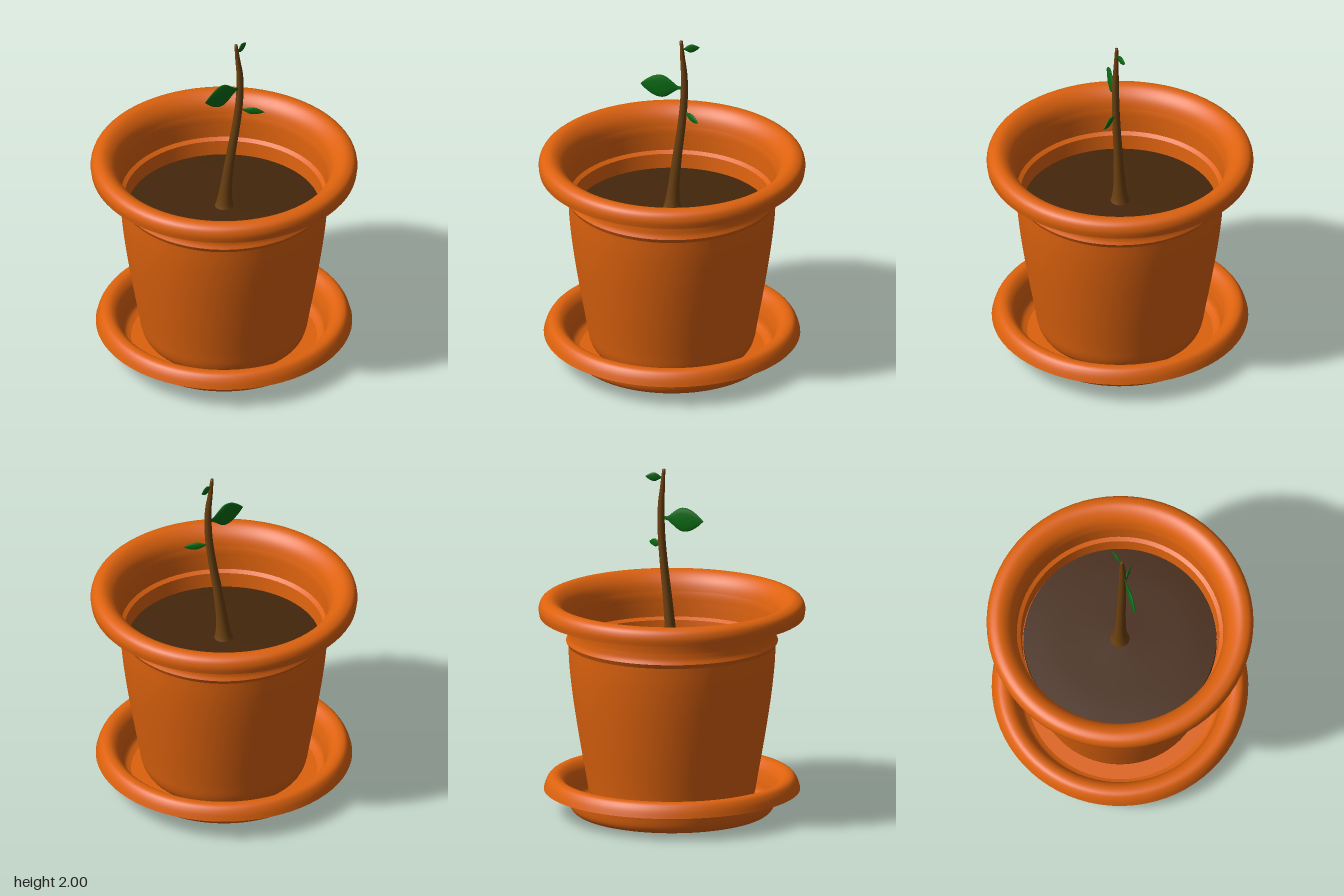
import * as THREE from 'three';

const mat = (color) => new THREE.MeshStandardMaterial({ color, side: THREE.DoubleSide });
const clay = mat(0xdd620e), earth = mat(0x44260c), bark = mat(0x6b4010), green = mat(0x0a6a14);

const vec2 = (pts) => pts.map(([x, y]) => new THREE.Vector2(x, y));

// Revolves each smooth run of [radius, y] points; edges between runs stay sharp
function turned(name, runs, material) {
  const group = new THREE.Group();
  group.name = name;
  for (const [part, pts] of Object.entries(runs)) {
    const profile = pts.length > 2 ? new THREE.SplineCurve(vec2(pts)).getPoints(pts.length * 4) : vec2(pts);
    profile.forEach((p) => { p.x = Math.max(p.x, 0); });
    const mesh = new THREE.Mesh(new THREE.LatheGeometry(profile, 72), material);
    mesh.name = part;
    group.add(mesh);
  }
  return group;
}

// Stem centre line
const path = new THREE.SplineCurve(vec2([
  [0, 0.9], [0.012, 1.05], [0.038, 1.25], [0.07, 1.45], [0.09, 1.62], [0.093, 1.78], [0.08, 1.9], [0.07, 2],
]));

function makeStem() {
  const radius = new THREE.SplineCurve(vec2([
    [0.062, 0.9], [0.046, 0.95], [0.034, 1.05], [0.027, 1.25], [0.023, 1.5], [0.02, 1.75], [0.014, 1.9], [0.009, 2],
  ]));
  const profile = radius.getPoints(32);
  profile.push(new THREE.Vector2(0, 2));
  const geo = new THREE.LatheGeometry(profile, 14);
  const line = path.getPoints(80);
  const pos = geo.attributes.position;
  // Bend the straight stem along the centre line
  for (let i = 0; i < pos.count; i++) {
    const y = pos.getY(i);
    const k = Math.max(1, line.findIndex((p) => p.y >= y - 1e-6));
    const a = line[k - 1], b = line[k];
    const t = THREE.MathUtils.clamp((y - a.y) / (b.y - a.y), 0, 1);
    pos.setX(i, pos.getX(i) + a.x + (b.x - a.x) * t);
  }
  const stem = new THREE.Mesh(geo, bark);
  stem.name = 'stem';
  return stem;
}

// Flattened spindle leaf from base to tip, its blade standing upright
function makeLeaf(name, base, tip, width, thickness) {
  const from = new THREE.Vector3(...base), dir = new THREE.Vector3(...tip).sub(from);
  const length = dir.length();
  dir.normalize();
  const outline = new THREE.SplineCurve(vec2([
    [0.06, 0], [0.1, 0.12], [0.28, 0.25], [0.46, 0.4], [0.5, 0.54], [0.42, 0.7], [0.22, 0.87], [0, 1],
  ])).getPoints(16);
  outline.forEach((p) => { p.x = Math.max(p.x, 0); });
  const geo = new THREE.LatheGeometry(outline, 12);
  geo.scale(width, length, thickness);
  const side = new THREE.Vector3().crossVectors(dir, new THREE.Vector3(0, 1, 0)).normalize();
  const across = new THREE.Vector3().crossVectors(dir, side);
  geo.applyMatrix4(new THREE.Matrix4().makeBasis(across, dir, side));
  const leaf = new THREE.Mesh(geo, green);
  leaf.name = name;
  leaf.position.copy(from);
  return leaf;
}

export function createModel() {
  const model = new THREE.Group();
  model.name = 'pottedPlant';

  // Thin-walled pot with a hollow, rolled-over rim
  model.add(turned('pot', {
    potBase: [[0, 0.04], [0.4, 0.04]],
    potWall: [[0.4, 0.04], [0.445, 0.065], [0.472, 0.12], [0.49, 0.22], [0.53, 0.45], [0.565, 0.68], [0.585, 0.86], [0.592, 0.985]],
    potBandLower: [[0.592, 0.985], [0.605, 1.01]],
    potBandUpper: [[0.605, 1.01], [0.595, 1.035], [0.592, 1.07]],
    rimUnderside: [[0.592, 1.07], [0.597, 1.13], [0.62, 1.19], [0.66, 1.228], [0.7, 1.238], [0.732, 1.22], [0.745, 1.19], [0.745, 1.155]],
    rimEdge: [[0.745, 1.155], [0.756, 1.155]],
    rimTop: [[0.756, 1.155], [0.761, 1.2], [0.744, 1.24], [0.7, 1.256], [0.655, 1.238], [0.615, 1.19], [0.595, 1.11], [0.589, 1.0]],
    innerLedge: [[0.589, 1.0], [0.567, 0.985]],
    innerWall: [[0.567, 0.985], [0.556, 0.88]],
    innerFloor: [[0.556, 0.88], [0, 0.88]],
  }, clay));

  // Saucer with the same rolled rim
  model.add(turned('saucer', {
    saucerBase: [[0, 0], [0.5, 0]],
    saucerWall: [[0.5, 0], [0.555, 0.012], [0.583, 0.045], [0.597, 0.12], [0.615, 0.17], [0.65, 0.2], [0.68, 0.2], [0.703, 0.175], [0.718, 0.138]],
    saucerEdge: [[0.718, 0.138], [0.732, 0.138]],
    saucerTop: [[0.732, 0.138], [0.717, 0.185], [0.69, 0.217], [0.645, 0.217], [0.605, 0.18], [0.583, 0.12], [0.568, 0.055], [0.53, 0.03]],
    saucerFloor: [[0.53, 0.03], [0, 0.03]],
  }, clay));

  // Soil, slightly raised in the middle
  model.add(turned('soil', {
    soilSide: [[0.552, 0.88], [0.55, 0.905]],
    soilTop: [[0.55, 0.905], [0.4, 0.912], [0.2, 0.916], [0, 0.92]],
  }, earth));

  // Sapling
  const plant = new THREE.Group();
  plant.name = 'sapling';
  plant.add(
    makeStem(),
    makeLeaf('largeLeaf', [0.085, 1.71, 0.01], [-0.137, 1.71, 0.118], 0.14, 0.022),
    makeLeaf('lowerLeaf', [0.09, 1.56, 0], [0.23, 1.54, 0.032], 0.046, 0.015),
    makeLeaf('topLeaf', [0.075, 1.95, 0], [0.147, 1.957, -0.073], 0.05, 0.013),
  );
  model.add(plant);
  return model;
}
